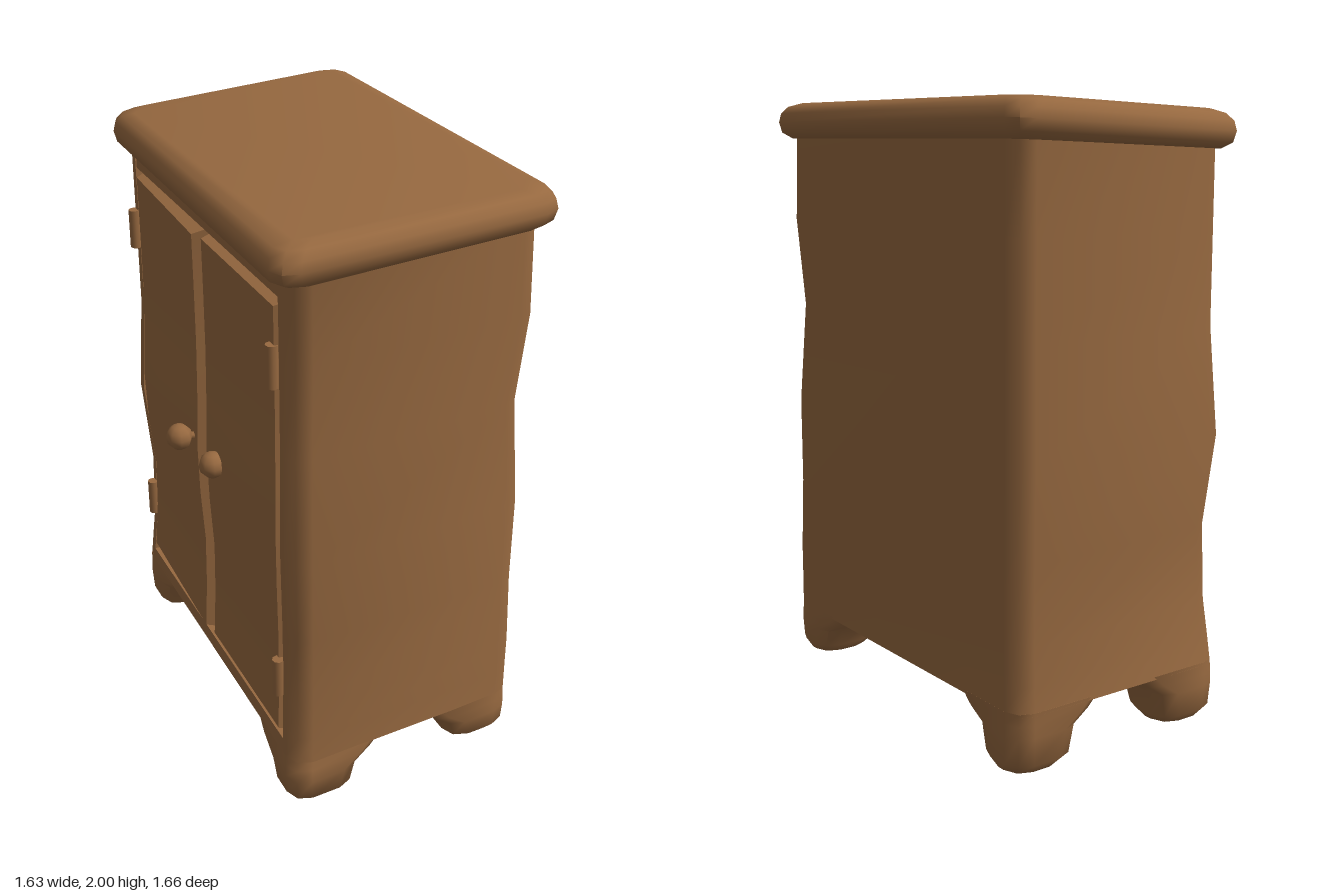
import * as THREE from 'three';
import { toCreasedNormals } from 'three/addons/utils/BufferGeometryUtils.js';

// Footprint corners [x, z]: front left, front right, back right, back left
const BODY = [[-0.765, -0.075], [0.345, 0.735], [0.785, 0.03], [-0.34, -0.765]];
const TOP = [[-0.84, -0.07], [0.38, 0.86], [0.84, 0.02], [-0.37, -0.86]];

// Hand-carved waviness: how far each body corner moves outward at each height
const HEIGHTS = [0, 0.1, 0.2, 0.4, 0.65, 0.95, 1.3, 1.6, 1.9];
const WOBBLE = [
  [0.03, 0.045, 0.04, 0.01, 0, 0.04, 0.01, 0.01, 0.01],
  [-0.02, 0.03, 0, -0.015, -0.02, 0.005, -0.015, -0.02, 0],
  [0, 0.015, 0.01, 0.01, 0, 0, -0.03, 0, -0.01],
  [0, 0.01, 0.01, 0, 0, 0, 0, 0, 0],
];

function wobble(corner, y) {
  const last = HEIGHTS.length - 1;
  let i = 0;
  while (i < last - 1 && y > HEIGHTS[i + 1]) i++;
  const t = THREE.MathUtils.clamp((y - HEIGHTS[i]) / (HEIGHTS[i + 1] - HEIGHTS[i]), 0, 1);
  return THREE.MathUtils.lerp(WOBBLE[corner][i], WOBBLE[corner][i + 1], t);
}

// u runs along the front, v runs from front to back
function blend(corners, u, v) {
  const w = [(1 - u) * (1 - v), u * (1 - v), u * v, (1 - u) * v];
  return [0, 1].map((k) => corners.reduce((sum, c, i) => sum + c[k] * w[i], 0));
}

function onBody(u, y, v) {
  const corners = BODY.map(([x, z], i) => {
    const s = 1 + wobble(i, y) / Math.hypot(x, z);
    return [x * s, z * s];
  });
  const [x, z] = blend(corners, u, v);
  return new THREE.Vector3(x, y, z);
}

function onTop(u, y, v) {
  const [x, z] = blend(TOP, u, v);
  return new THREE.Vector3(x, y - 0.035 * (1 - u) * (1 - v), z);
}

// Rounded rectangle in u, v, counter-clockwise from above
function roundRect(u0, u1, v0, v1, r) {
  const ru = r / 1.35, rv = r / 0.82, pts = [];
  const centres = [[u0 + ru, v0 + rv], [u1 - ru, v0 + rv], [u1 - ru, v1 - rv], [u0 + ru, v1 - rv]];
  centres.forEach(([cu, cv], i) => {
    for (let k = 0; k < 3; k++) {
      const a = Math.PI + (i + k / 2) * Math.PI / 2;
      pts.push([cu + ru * Math.cos(a), cv + rv * Math.sin(a)]);
    }
  });
  return pts;
}

// Skin a stack of outlines and cap both ends
function loft(rings, place) {
  const n = rings[0].pts.length, pos = [], idx = [];
  for (const { y, pts } of rings) for (const [u, v] of pts) pos.push(...place(u, y, v).toArray());
  for (let j = 0; j < rings.length - 1; j++) {
    for (let i = 0; i < n; i++) {
      const a = j * n + i, b = j * n + (i + 1) % n;
      idx.push(a, b, b + n, a, b + n, a + n);
    }
  }
  const cap = (ring) => THREE.ShapeUtils.triangulateShape(ring.pts.map(([u, v]) => new THREE.Vector2(u, v)), []);
  for (const [a, b, c] of cap(rings[0])) idx.push(a, c, b);
  const off = (rings.length - 1) * n;
  for (const [a, b, c] of cap(rings[rings.length - 1])) idx.push(off + a, off + b, off + c);
  const g = new THREE.BufferGeometry();
  g.setAttribute('position', new THREE.Float32BufferAttribute(pos, 3));
  g.setIndex(idx);
  return toCreasedNormals(g, 1.0);
}

// Board following the wavy body, with a bevelled front and an optional swing outward
function board(u0, u1, y0, y1, v0, v1, bevel = 0, swing = 0) {
  const g = new THREE.BoxGeometry(1, 1, 1, 1, 8, 1);
  const p = g.attributes.position;
  for (let i = 0; i < p.count; i++) {
    const front = p.getZ(i) > 0, shrink = front ? bevel : 0;
    const s = p.getX(i) + 0.5;
    const u = THREE.MathUtils.lerp(u0 + shrink / 1.35, u1 - shrink / 1.35, s);
    const y = THREE.MathUtils.lerp(y0 + shrink, y1 - shrink, p.getY(i) + 0.5);
    const q = onBody(u, y, (front ? v0 : v1) - swing * s);
    p.setXYZ(i, q.x, q.y, q.z);
  }
  return toCreasedNormals(g, 0.9);
}

export function createModel() {
  const model = new THREE.Group();
  model.name = 'cabinet';
  const wood = new THREE.MeshStandardMaterial({ color: 0x976940 });
  wood.name = 'brown wood';
  const add = (name, geometry) => {
    const mesh = new THREE.Mesh(geometry, wood);
    mesh.name = name;
    model.add(mesh);
    return mesh;
  };

  // Carcass with a shallow recess in the front for the doors
  const outline = roundRect(0, 1, 0, 1, 0.065);
  outline.splice(3, 0, [0.07, 0], [0.07, 0.06], [0.935, 0.06], [0.935, 0]);
  const levels = [0.19, 0.28, 0.4, 0.65, 0.95, 1.3, 1.6, 1.9];
  add('carcass', loft(levels.map((y) => ({ y, pts: outline })), onBody));
  add('bottomRail', board(0.06, 0.945, 0.19, 0.24, 0, 0.08));
  add('topRail', board(0.06, 0.945, 1.79, 1.9, 0.005, 0.08));

  // Bullnose top
  const edge = [[1.88, 0.035], [1.9, 0.008], [1.935, 0], [1.965, 0.006], [1.988, 0.025], [2, 0.06]];
  add('top', loft(edge.map(([y, d]) => {
    const du = d / 1.5, dv = d / 0.92;
    return { y, pts: roundRect(du, 1 - du, dv, 1 - dv, 0.06) };
  }), onTop));

  // Flared feet: [right side, back, ground clearance]
  for (const [right, back, lift] of [[0, 0, 0.01], [1, 0, 0], [1, 1, 0.03], [0, 1, 0]]) {
    const profile = [[lift, 0.13, 0.25, 0.015], [lift + 0.03, 0.15, 0.28, 0],
      [0.12, 0.165, 0.3, 0], [0.16, 0.22, 0.37, 0], [0.2, 0.25, 0.42, 0]];
    const rings = profile.map(([y, wu, wv, d]) => ({
      y,
      pts: roundRect(right ? 1 - wu : d, right ? 1 - d : wu, back ? 1 - wv : d, back ? 1 - d : wv, 0.065),
    }));
    add((back ? 'back' : 'front') + (right ? 'Right' : 'Left') + 'Foot', loft(rings, onBody));
  }

  // Doors, the left one slightly ajar
  add('leftDoor', board(0.077, 0.508, 0.272, 1.78, -0.008, 0.055, 0.015, 0.022));
  add('rightDoor', board(0.514, 0.93, 0.258, 1.772, -0.008, 0.055, 0.012));

  // Hinges
  for (const [u, y] of [[0.058, 1.57], [0.066, 0.49], [0.915, 1.57], [0.925, 0.48]]) {
    const hinge = add('hinge', new THREE.CylinderGeometry(0.02, 0.02, 0.135, 8));
    hinge.position.copy(onBody(u, y, -0.012));
  }

  // Knobs on short stems
  const knobs = [[new THREE.Vector3(-0.305, 1.045, 0.36), new THREE.Vector3(-0.24, 1.04, 0.29)],
    [new THREE.Vector3(-0.135, 1.02, 0.425), new THREE.Vector3(-0.11, 1.02, 0.38)]];
  for (const [ball, root] of knobs) {
    add('knob', new THREE.SphereGeometry(0.045, 8, 6)).position.copy(ball);
    add('knobStem', new THREE.TubeGeometry(new THREE.LineCurve3(ball, root), 1, 0.014, 6));
  }
  return model;
}
